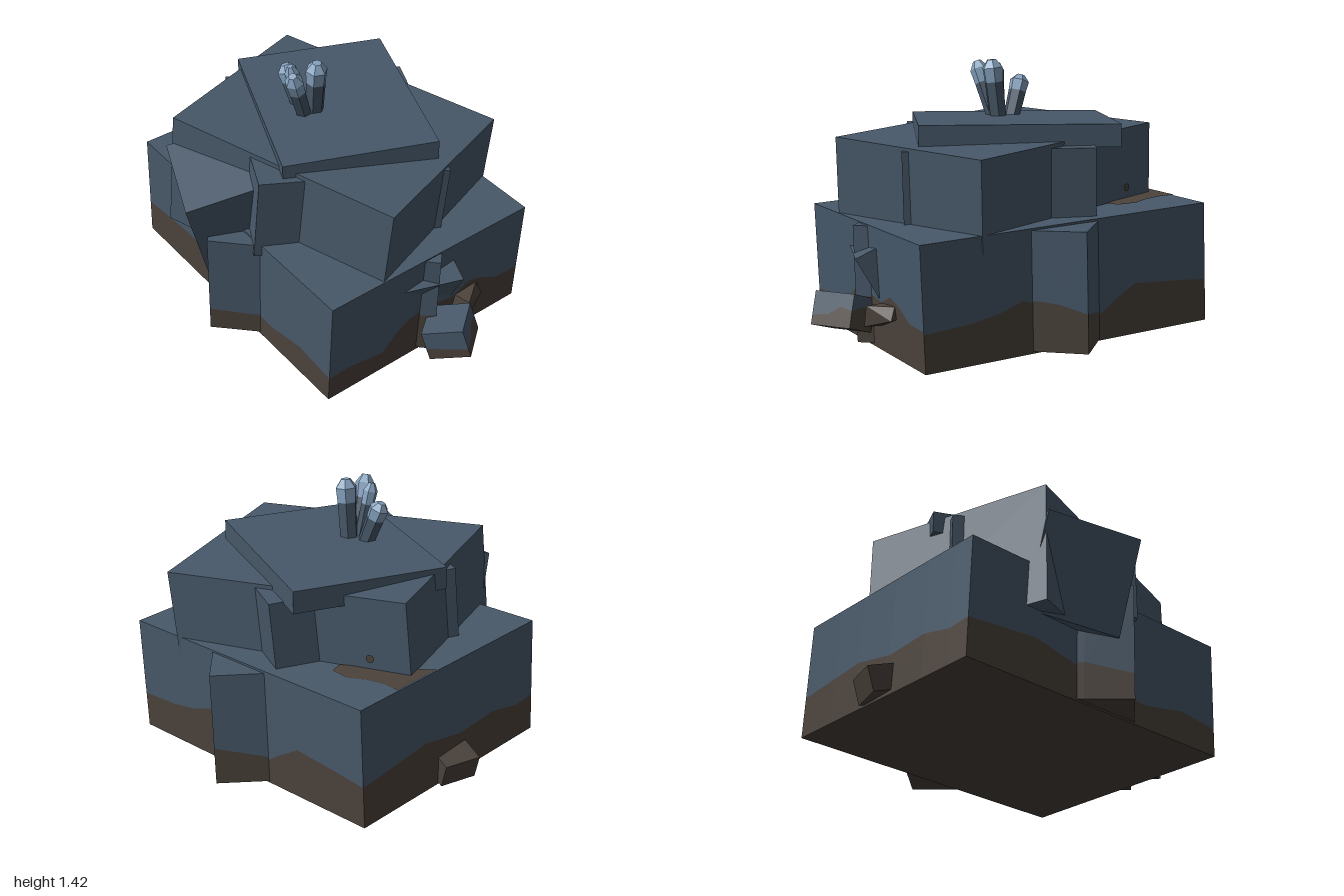
import * as THREE from 'three';
import { ConvexGeometry } from 'three/addons/geometries/ConvexGeometry.js';

const makeMaterial = (name, color) => {
  const m = new THREE.MeshStandardMaterial({ color });
  m.name = name;
  return m;
};

const V = (x, y, z) => new THREE.Vector3(x, y, z);

export function createModel() {
  const stone = makeMaterial('slate stone', 0x475869);
  const dirt = makeMaterial('brown dirt', 0x4b423b);
  const crystal = makeMaterial('pale crystal', 0x86a3c0);
  const group = new THREE.Group();

  const add = (name, geometry, material, parent = group) => {
    const mesh = new THREE.Mesh(geometry, material);
    mesh.name = name;
    parent.add(mesh);
    return mesh;
  };

  // Slanted block: bottom front corner, edges across, back and up.
  // bands: dirt outline [t, height] for the front, right, back and left side.
  function block(name, corner, across, back, up, bands) {
    const stonePos = [], dirtPos = [];
    const quad = (list, a, b, c, d) =>
      [a, b, c, a, c, d].forEach(p => list.push(p.x, p.y, p.z));
    const low = [corner.clone(), corner.clone().add(across),
      corner.clone().add(across).add(back), corner.clone().add(back)];
    const high = low.map(p => p.clone().add(up));
    for (let i = 0; i < 4; i++) {
      const j = (i + 1) % 4;
      const at = (t, h) => low[i].clone().lerp(low[j], t).addScaledVector(up, h);
      if (!bands) {
        quad(stonePos, low[i], low[j], high[j], high[i]);
        continue;
      }
      const band = bands[i];
      for (let k = 0; k < band.length - 1; k++) {
        const [t0, h0] = band[k], [t1, h1] = band[k + 1];
        quad(dirtPos, at(t0, 0), at(t1, 0), at(t1, h1), at(t0, h0));
        quad(stonePos, at(t0, h0), at(t1, h1), at(t1, 1), at(t0, 1));
      }
    }
    quad(stonePos, ...high);
    quad(bands ? dirtPos : stonePos, low[3], low[2], low[1], low[0]);
    const g = new THREE.BufferGeometry();
    g.setAttribute('position', new THREE.Float32BufferAttribute([...stonePos, ...dirtPos], 3));
    g.addGroup(0, stonePos.length / 3, 0);
    g.addGroup(stonePos.length / 3, dirtPos.length / 3, 1);
    g.computeVertexNormals();
    return add(name, g, [stone, dirt]);
  }

  // Base tier: a long block and a turned block whose corners poke through it
  block('baseBlock', V(-0.72, 0.025, 0.61), V(1.28, -0.02, 0.19), V(0.25, 0.08, -1.6), V(0, 0.62, 0.03), [
    [[0, 0.24], [0.1, 0.25], [0.27, 0.19], [0.34, 0.34], [0.4, 0.42], [0.5, 0.44], [0.64, 0.4],
      [0.72, 0.48], [0.8, 0.43], [0.88, 0.34], [1, 0.33]],
    [[0, 0.31], [0.15, 0.33], [0.25, 0.37], [0.33, 0.44], [0.42, 0.35], [0.5, 0.2], [0.58, 0.18],
      [0.65, 0.3], [0.73, 0.42], [0.9, 0.38], [1, 0.35]],
    [[0, 0.35], [0.2, 0.39], [0.35, 0.42], [0.55, 0.34], [0.75, 0.37], [0.9, 0.3], [1, 0.32]],
    [[0, 0.32], [0.25, 0.38], [0.4, 0.3], [0.55, 0.22], [0.7, 0.2], [0.85, 0.28], [1, 0.24]],
  ]);
  block('turnedBaseBlock', V(-0.085, 0.026, 0.77), V(0.955, 0.024, -0.71), V(-0.705, 0.05, -0.94), V(0, 0.6, 0.02), [
    [[0, 0.4], [0.8, 0.42], [0.88, 0.4], [1, 0.33]],
    [[0, 0.33], [0.25, 0.22], [1, 0.35]],
    [[0, 0.35], [0.8, 0.32], [1, 0.22]],
    [[0, 0.22], [0.2, 0.2], [1, 0.4]],
  ]);

  // Middle tier, built the same way
  block('middleBlock', V(-0.41, 0.39, 0.665), V(1.01, -0.035, -0.175), V(-0.22, 0.085, -1.285), V(0.04, 0.65, 0.045));
  block('turnedMiddleBlock', V(0.115, 0.555, 0.615), V(0.54, 0.015, -0.79), V(-0.78, 0.06, -0.56), V(0.025, 0.45, 0.03));

  // Flat cap stone
  block('capSlab', V(0.155, 1.015, 0.555), V(0.535, 0, -0.855), V(-0.675, 0, -0.425), V(0, 0.115, 0));

  // Leaning block against the side
  block('leaningBlock', V(-0.74, 0.39, -0.21), V(0.33, 0.085, 0.215), V(0.245, 0.08, -0.405), V(-0.135, 0.49, 0.015));

  // Loose boulders, given by centre, size and turn
  function boulder(name, centre, size, pitch, yaw, bands) {
    const turn = new THREE.Euler(pitch, yaw, 0, 'YXZ');
    const axis = (x, y, z) => V(x, y, z).applyEuler(turn);
    const corner = axis(-size.x / 2, -size.y / 2, size.z / 2).add(centre);
    return block(name, corner, axis(size.x, 0, 0), axis(0, 0, -size.z), axis(0, size.y, 0), bands);
  }
  boulder('frontBoulder', V(-0.07, 0.2, 0.86), V(0.22, 0.17, 0.22), -0.31, 0.49, [
    [[0, 0.3], [0.4, 0.35], [0.7, 0.6], [1, 0.5]],
    [[0, 0.5], [0.5, 0.7], [1, 0.6]],
    [[0, 0.6], [1, 0.4]],
    [[0, 0.4], [1, 0.3]],
  ]);
  const full = [[0, 1], [1, 1]];
  const backBoulder = boulder('backBoulder', V(0.18, 0.175, -0.9), V(0.2, 0.13, 0.14), -0.28, -0.42,
    [full, full, full, full]);
  backBoulder.material = dirt;

  // Chips sticking out of the front face
  add('frontShard', new ConvexGeometry([V(0.03, 0.48, 0.85), V(-0.28, 0.49, 0.69),
    V(0.075, 0.535, 0.74), V(0.08, 0.27, 0.74), V(0, 0.45, 0.6)]), stone);
  add('dirtChip', new ConvexGeometry([V(0.09, 0.14, 0.74), V(0.09, 0.15, 0.84), V(0.11, 0.26, 0.84),
    V(0.11, 0.26, 0.74), V(0.255, 0.27, 0.77), V(0.27, 0.205, 0.8), V(0.26, 0.21, 0.72)]), dirt);

  // Dirt patch lying on the base, and a spot on the wall above it
  const outline = [[0.28, -0.845], [0.56, -0.805], [0.535, -0.72], [0.54, -0.62], [0.57, -0.52],
    [0.54, -0.42], [0.47, -0.41], [0.4, -0.6]];
  const patch = new THREE.ShapeGeometry(new THREE.Shape(outline.map(([x, z]) => new THREE.Vector2(x, -z))));
  patch.rotateX(-Math.PI / 2);
  const pos = patch.attributes.position;
  for (let i = 0; i < pos.count; i++) {
    pos.setY(i, 0.677 - 0.008 * pos.getX(i) - 0.051 * pos.getZ(i));
  }
  patch.computeVertexNormals();
  add('dirtPatch', patch, dirt);
  const spot = add('dirtSpot', new THREE.CircleGeometry(0.022, 8), dirt);
  spot.position.set(0.443, 0.76, -0.57);
  spot.rotation.y = 1.74;

  // Crystals: stone shaft, pale upper part and blunt tip
  const crystals = new THREE.Group();
  crystals.name = 'crystalCluster';
  group.add(crystals);
  [
    [V(-0.05, 1.1, -0.1), V(-0.065, 1.425, -0.065), 0.055],
    [V(-0.1, 1.1, -0.12), V(-0.22, 1.41, -0.085), 0.048],
    [V(-0.09, 1.1, -0.14), V(-0.15, 1.4, -0.17), 0.036],
    [V(-0.06, 1.1, -0.19), V(-0.08, 1.335, -0.275), 0.05],
  ].forEach(([foot, tip, r], i) => {
    const one = new THREE.Group();
    one.name = 'crystal' + (i + 1);
    const axis = tip.clone().sub(foot), h = axis.length();
    one.position.copy(foot);
    one.quaternion.setFromUnitVectors(V(0, 1, 0), axis.normalize());
    const part = (name, rTop, rLow, from, to, material) => {
      const g = new THREE.CylinderGeometry(rTop * r, rLow * r, (to - from) * h, 6).toNonIndexed();
      g.computeVertexNormals();
      const mesh = add(name, g, material, one);
      mesh.position.y = (from + to) / 2 * h;
      mesh.rotation.y = i * 0.4;
    };
    part('crystalShaft', 0.95, 0.85, 0, 0.64, stone);
    part('crystalBody', 1.04, 0.95, 0.64, 0.87, crystal);
    part('crystalTip', 0.45, 1.04, 0.87, 1, crystal);
    crystals.add(one);
  });

  return group;
}
